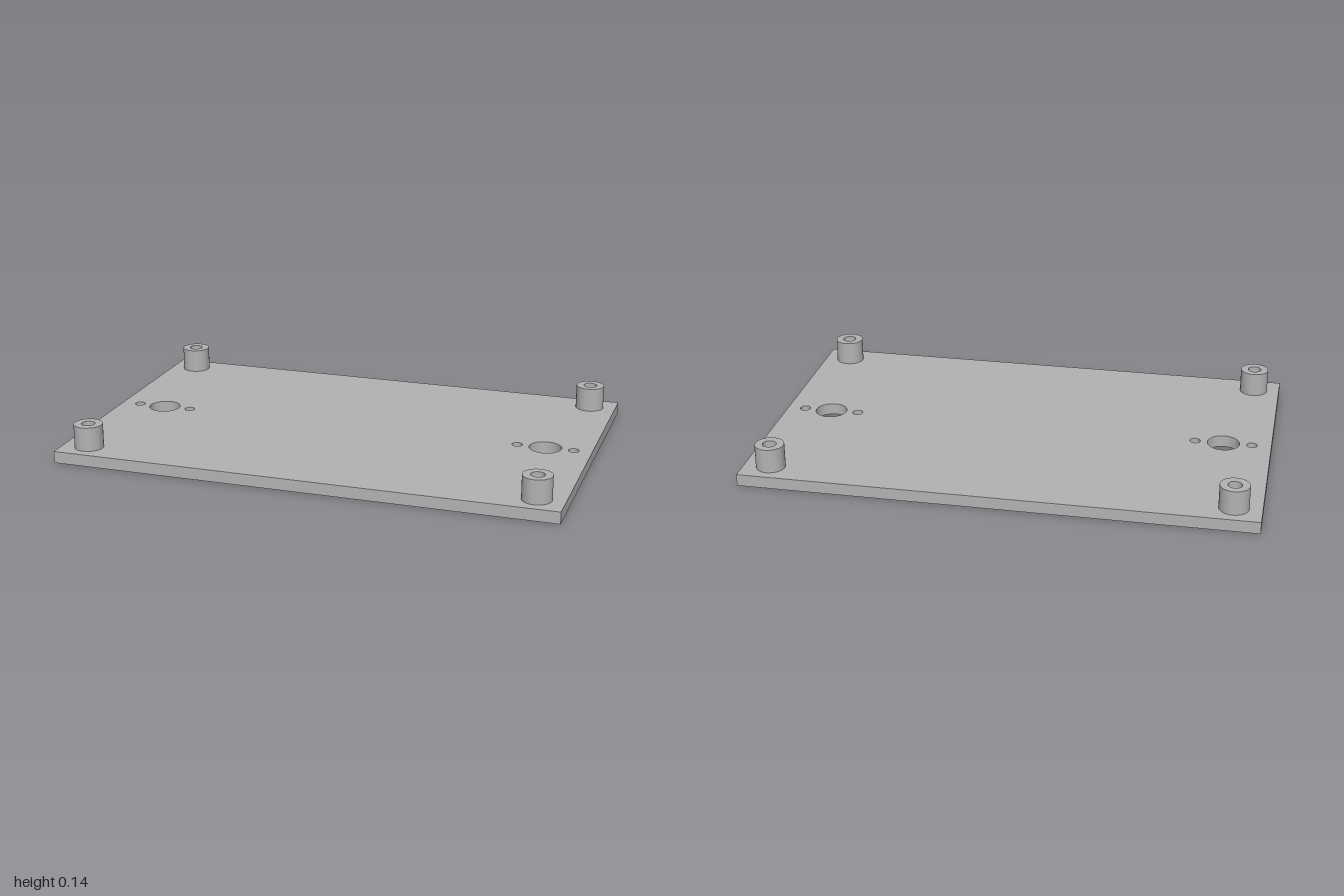
import * as THREE from 'three';
import { toCreasedNormals } from 'three/addons/utils/BufferGeometryUtils.js';

const WIDTH = 2, DEPTH = 1.27, THICKNESS = 0.047, POST_TOP = 0.143;

function circle(PathType, x, y, radius) {
  return new PathType().absarc(x, y, radius, 0, Math.PI * 2, false);
}

// Extrudes a plan shape upwards, with smooth round walls and sharp rims
function extrudeUp(shape, height) {
  const geometry = new THREE.ExtrudeGeometry(shape, { depth: height, bevelEnabled: false, curveSegments: 24 });
  geometry.rotateX(-Math.PI / 2);
  return toCreasedNormals(geometry, 0.6);
}

export function createModel() {
  const model = new THREE.Group();
  model.name = 'mountingPlate';
  const grey = new THREE.MeshStandardMaterial({ color: 0xb3b3b3 });
  grey.name = 'grey';

  // Base plate with a large hole and two screw holes at each end
  const w = WIDTH / 2, d = DEPTH / 2;
  const outline = new THREE.Shape([
    new THREE.Vector2(-w, -d), new THREE.Vector2(w, -d),
    new THREE.Vector2(w, d), new THREE.Vector2(-w, d),
  ]);
  for (const x of [-0.81, 0.815]) {
    outline.holes.push(circle(THREE.Path, x, 0, 0.064));
    for (const side of [-1, 1]) outline.holes.push(circle(THREE.Path, x + side * 0.113, 0, 0.021));
  }
  const plate = new THREE.Mesh(extrudeUp(outline, THICKNESS), grey);
  plate.name = 'basePlate';
  model.add(plate);

  // Hollow standoff posts at the corners, closed below by the plate
  const ring = circle(THREE.Shape, 0, 0, 0.057);
  ring.holes.push(circle(THREE.Path, 0, 0, 0.027));
  const postGeometry = extrudeUp(ring, POST_TOP - THICKNESS);
  for (const x of [-1, 1]) {
    for (const z of [-1, 1]) {
      const post = new THREE.Mesh(postGeometry, grey);
      post.name = (z > 0 ? 'front' : 'back') + (x > 0 ? 'Left' : 'Right') + 'Post';
      post.position.set(x * 0.893, THICKNESS, z * 0.541);
      model.add(post);
    }
  }
  return model;
}
